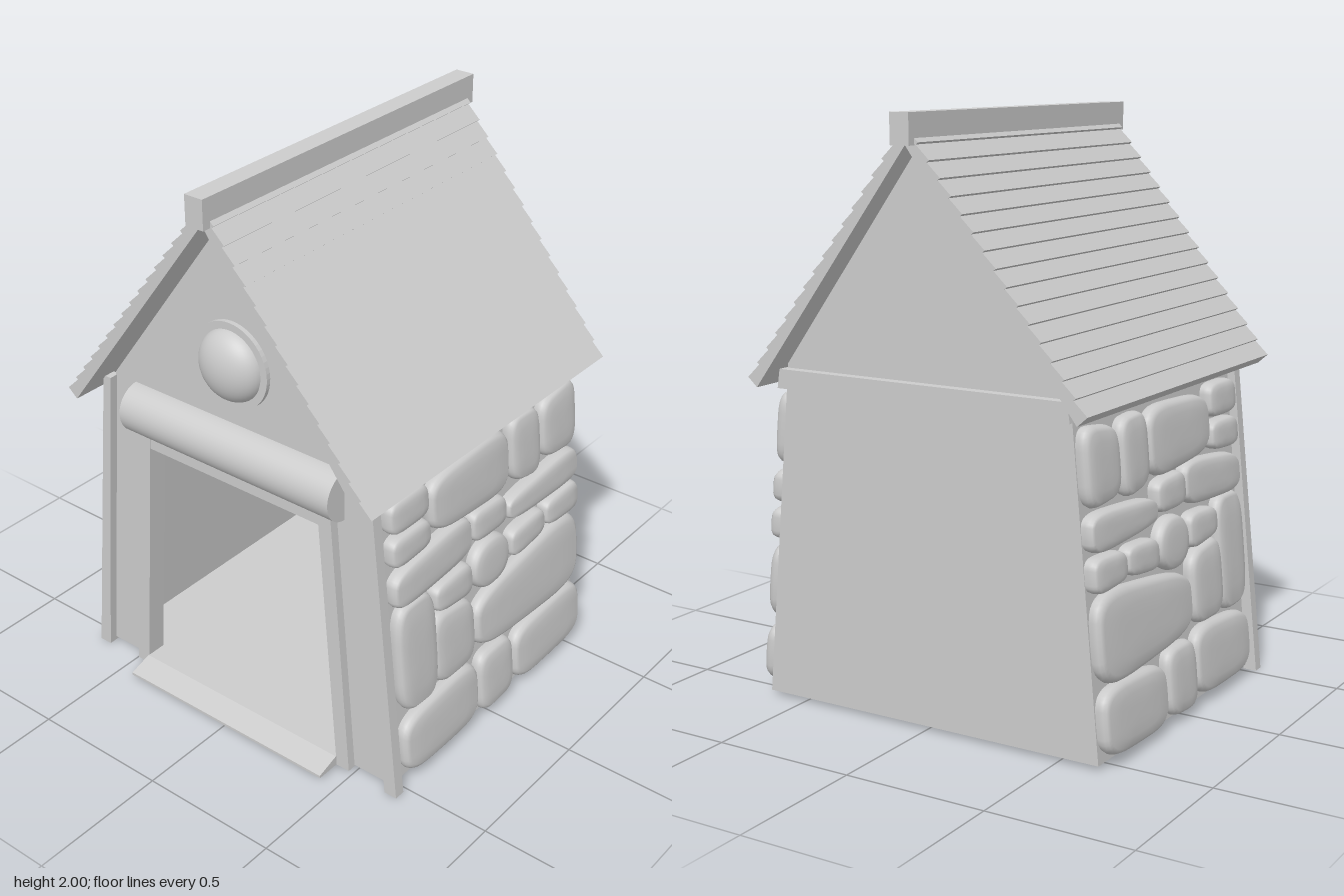
import * as THREE from 'three';

const material = new THREE.MeshStandardMaterial({ color: 0xcccccc });

// Extrudes an xy outline (with optional hole) from z0 to z1
function slab(name, points, z0, z1, hole) {
  const shape = new THREE.Shape(points.map(p => new THREE.Vector2(...p)));
  if (hole) shape.holes.push(new THREE.Path(hole.map(p => new THREE.Vector2(...p))));
  const geo = new THREE.ExtrudeGeometry(shape, { depth: z1 - z0, bevelEnabled: false });
  geo.translate(0, 0, z0);
  return named(name, geo);
}

function named(name, geo) {
  const mesh = new THREE.Mesh(geo, material);
  mesh.name = name;
  return mesh;
}

function box(name, w, h, d, x, y, z) {
  return named(name, new THREE.BoxGeometry(w, h, d).translate(x, y, z));
}

const WALL_BOTTOM = 0.645, WALL_SLOPE = 0.093;
const wallX = y => WALL_BOTTOM - WALL_SLOPE * y;

// Stones: front z, back z, lower y (front, back), upper y (front, back)
const STONES = [
  [0.49, 0.29, 0.95, 0.95, 1.07, 1.07],
  [0.49, 0.29, 0.83, 0.84, 0.94, 0.94],
  [0.28, -0.16, 0.85, 0.82, 1.05, 1.07],
  [-0.17, -0.345, 0.83, 0.80, 1.07, 1.06],
  [-0.355, -0.57, 0.83, 0.81, 1.05, 1.08],
  [0.49, 0.07, 0.67, 0.69, 0.81, 0.85],
  [0.065, -0.13, 0.71, 0.71, 0.83, 0.82],
  [-0.14, -0.57, 0.69, 0.67, 0.78, 0.81],
  [0.49, 0.285, 0.28, 0.27, 0.68, 0.68],
  [0.285, 0.08, 0.56, 0.54, 0.66, 0.67],
  [0.07, -0.14, 0.51, 0.51, 0.69, 0.69],
  [-0.15, -0.355, 0.54, 0.56, 0.65, 0.66],
  [-0.365, -0.57, 0.56, 0.55, 0.66, 0.67],
  [0.305, 0.075, 0.28, 0.28, 0.56, 0.53],
  [0.07, -0.57, 0.28, 0.24, 0.49, 0.57],
  [0.49, 0.07, 0.03, 0.03, 0.25, 0.28],
  [0.065, -0.14, 0.02, 0.03, 0.26, 0.26],
  [-0.15, -0.57, 0.02, 0.03, 0.24, 0.26],
];

// Pillow-shaped stone lying on the sloping side wall
function stone([zf, zb, lowF, lowB, highF, highB], side, round) {
  const rings = [[0.95, -0.1], [1, 0.3], [0.98, 0.55], [0.93, 0.77], [0.83, 0.91], [0.6, 0.98], [0.3, 1], [0, 1]];
  const N = 40, pos = [], index = [];
  const power = round ? 0.9 : 0.5;
  const bend = v => Math.sign(v) * Math.abs(v) ** power;
  const halfZ = (zf - zb) / 2, halfY = (highF + highB - lowF - lowB) / 4;
  const rim = Math.min(halfZ, halfY);
  for (const [r, h] of rings) {
    // the rounded rim keeps the same width along long and short sides
    const rz = r > 0.8 ? 1 - (1 - r) * rim / halfZ : r;
    const ry = r > 0.8 ? 1 - (1 - r) * rim / halfY : r;
    for (let j = 0; j < N; j++) {
      const a = j / N * Math.PI * 2;
      const s = bend(Math.cos(a)) * rz, t = bend(Math.sin(a)) * ry;
      const f = (1 + s) / 2, g = (1 + t) / 2;
      const low = lowB + (lowF - lowB) * f, high = highB + (highF - highB) * f;
      const y = low + (high - low) * g;
      pos.push(side * (wallX(y) + 0.05 * h), y, zb + (zf - zb) * f);
    }
  }
  for (let i = 0; i < rings.length - 1; i++) {
    for (let j = 0; j < N; j++) {
      const a = i * N + j, b = i * N + (j + 1) % N, c = a + N, d = b + N;
      if (side > 0) index.push(a, c, b, b, c, d);
      else index.push(a, b, c, b, d, c);
    }
  }
  const geo = new THREE.BufferGeometry();
  geo.setAttribute('position', new THREE.Float32BufferAttribute(pos, 3));
  geo.setIndex(index);
  geo.computeVertexNormals();
  return named('stone', geo);
}

// Roof half: flat underside, overlapping planks on top
function roofSide(side) {
  const top = new THREE.Vector2(0, 1.955), end = new THREE.Vector2(0.632, 1.12);
  const normal = new THREE.Vector2(0.8, 0.6), planks = 16;
  const pts = [[0, 1.9], [0, 1.955]];
  for (let i = 0; i < planks; i++) {
    const a = top.clone().lerp(end, i / planks);
    const b = top.clone().lerp(end, (i + 1) / planks).addScaledVector(normal, 0.011);
    if (i > 0) pts.push([a.x, a.y]);
    pts.push([b.x, b.y]);
  }
  pts.push([0.605, 1.095]);
  return slab('roofPlanks', pts.map(([x, y]) => [x * side, y]), -0.65, 0.65);
}

export function createModel() {
  const model = new THREE.Group();
  model.name = 'stoneHut';

  // Walls, floor and loft around a hollow room
  const outline = [[-wallX(0.015), 0.015], [wallX(0.015), 0.015], [wallX(1.17), 1.17], [0, 1.9], [-wallX(1.17), 1.17]];
  const room = [[-0.61, 0.04], [0.61, 0.04], [0.515, 1.08], [-0.515, 1.08]];
  const doorway = [[-0.436, 0.04], [0.436, 0.04], [0.363, 0.95], [-0.363, 0.95]];
  model.add(slab('sideWallsAndLoft', outline, -0.54, 0.5, room));
  model.add(slab('backWall', outline, -0.57, -0.54));
  model.add(slab('frontWall', outline, 0.5, 0.53, doorway));

  // Parts repeated on both sides
  for (const side of [-1, 1]) {
    const mirror = pts => pts.map(([x, y]) => [x * side, y]);
    model.add(slab('cornerPost', mirror([[0.637, 0], [0.685, 0], [0.565, 1.16], [0.532, 1.16]]), 0.52, 0.56));
    model.add(slab('doorJamb', mirror([[0.436, 0.01], [0.488, 0.01], [0.412, 0.99], [0.36, 0.99]]), 0.49, 0.562));
    model.add(roofSide(side));
    const stones = new THREE.Group();
    stones.name = 'stoneCladding';
    STONES.forEach((s, i) => stones.add(stone(s, side, i === 10)));
    model.add(stones);
  }

  // Door head, rolled curtain and ramp
  model.add(box('lintel', 0.78, 0.05, 0.07, 0, 0.975, 0.526));
  const roll = new THREE.CylinderGeometry(0.09, 0.09, 0.885, 40).rotateZ(Math.PI / 2);
  model.add(named('doorRoll', roll.translate(0, 1.075, 0.525)));
  const ramp = slab('ramp', [[0.44, 0.01], [0.65, 0.01], [0.65, 0.02], [0.565, 0.047], [0.44, 0.047]], -0.435, 0.435);
  ramp.geometry.rotateY(-Math.PI / 2);
  model.add(ramp);

  // Round window with domed pane
  const ring = new THREE.LatheGeometry(
    [[0.122, 0], [0.122, 0.018], [0.15, 0.018], [0.15, 0]].map(p => new THREE.Vector2(...p)).reverse(), 48);
  ring.rotateX(Math.PI / 2).translate(0, 1.385, 0.528);
  const ringMesh = named('windowRing', ring.toNonIndexed());
  ringMesh.geometry.computeVertexNormals();
  ringMesh.material = material.clone();
  ringMesh.material.side = THREE.DoubleSide;
  model.add(ringMesh);
  const dome = new THREE.SphereGeometry(0.125, 40, 24).scale(1, 1, 0.65);
  model.add(named('windowDome', dome.translate(0, 1.385, 0.535)));

  // Ridge beam and rear tie beam
  model.add(box('ridgeBeam', 0.07, 0.1, 1.36, 0, 1.95, 0));
  model.add(slab('rearBeam', [[-0.555, 1.09], [0.555, 1.09], [0.545, 1.155], [-0.545, 1.155]], -0.605, -0.56));
  return model;
}
